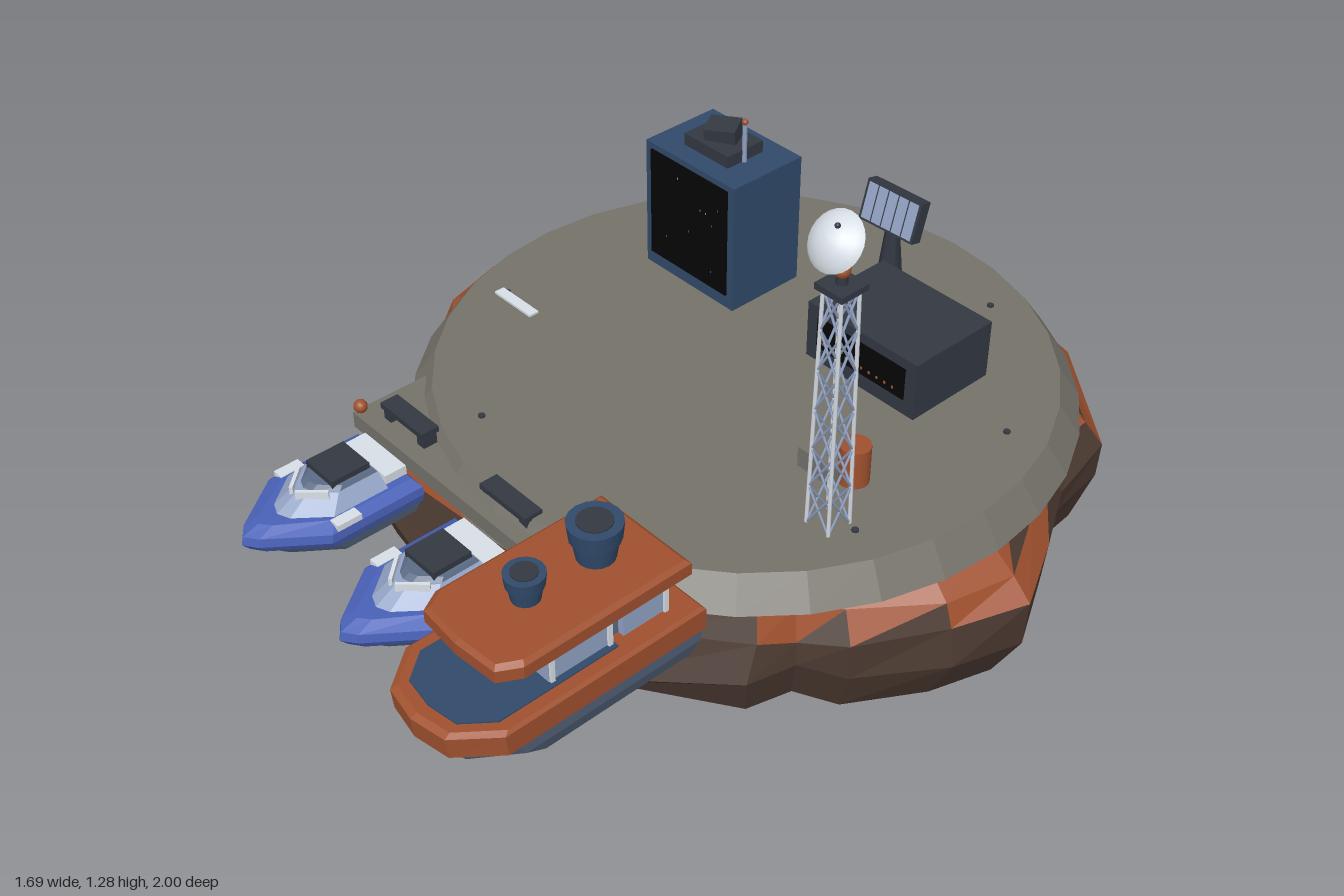
import * as THREE from 'three';

const paint = (name, color) => {
  const m = new THREE.MeshStandardMaterial({ color });
  m.name = name;
  return m;
};

export function createModel() {
  const rock = paint('rock brown', 0x4a3930), rust = paint('rust orange', 0xa0512f);
  const concrete = paint('concrete grey', 0x75726a), royal = paint('royal blue', 0x4a62b8);
  const navy = paint('navy blue', 0x314a6b), slate = paint('slate blue', 0x5b6c85);
  const pale = paint('pale blue', 0x93a3c4), charcoal = paint('charcoal', 0x333842);
  const black = paint('black', 0x050506), white = paint('white', 0xdfe6ee);
  white.side = THREE.DoubleSide;

  const model = new THREE.Group();
  model.name = 'rockIslandHarbour';

  let seed = 7;
  const rand = () => ((seed = (seed * 16807) % 2147483647) / 2147483647) - 0.5;
  const flat = (geo) => {
    const g = geo.toNonIndexed();
    g.computeVertexNormals();
    return g;
  };
  const add = (parent, name, geo, mat, x = 0, y = 0, z = 0) => {
    const m = new THREE.Mesh(geo, mat);
    m.name = name;
    m.position.set(x, y, z);
    parent.add(m);
    return m;
  };
  const group = (name, x = 0, y = 0, z = 0, parent = model) => {
    const g = new THREE.Group();
    g.name = name;
    g.position.set(x, y, z);
    parent.add(g);
    return g;
  };
  // Box given by its minimum and maximum on each axis
  const block = (parent, name, mat, x0, x1, y0, y1, z0, z1) =>
    add(parent, name, new THREE.BoxGeometry(x1 - x0, y1 - y0, z1 - z0), mat, (x0 + x1) / 2, (y0 + y1) / 2, (z0 + z1) / 2);
  const cyl = (parent, name, mat, rTop, rBase, y0, y1, x = 0, z = 0, sides = 16) =>
    add(parent, name, new THREE.CylinderGeometry(rTop, rBase, y1 - y0, sides), mat, x, (y0 + y1) / 2, z);
  const strut = (parent, name, mat, a, b, r) => {
    const m = add(parent, name, new THREE.CylinderGeometry(r, r, a.distanceTo(b), 5), mat);
    m.position.copy(a).add(b).multiplyScalar(0.5);
    m.quaternion.setFromUnitVectors(new THREE.Vector3(0, 1, 0), b.clone().sub(a).normalize());
  };

  // Closed faceted skin over rings (anticlockwise from above, bottom to top)
  const loft = (rings, pick = () => 0) => {
    const faces = [[], []];
    const mid = (r) => r.reduce((s, p) => s.add(p), new THREE.Vector3()).divideScalar(r.length);
    const n = rings[0].length, top = rings.length - 1;
    const low = mid(rings[0]), high = mid(rings[top]);
    for (let j = 0; j < n; j++) {
      const k = (j + 1) % n;
      for (let i = 0; i < top; i++) {
        const [a, b, c, d] = [rings[i][j], rings[i][k], rings[i + 1][k], rings[i + 1][j]];
        faces[pick(i, j, 0)].push(a, b, c);
        faces[pick(i, j, 1)].push(a, c, d);
      }
      faces[0].push(low, rings[0][k], rings[0][j], high, rings[top][j], rings[top][k]);
    }
    const g = new THREE.BufferGeometry().setFromPoints([...faces[0], ...faces[1]]);
    g.addGroup(0, faces[0].length, 0);
    g.addGroup(faces[0].length, faces[1].length, 1);
    g.computeVertexNormals();
    return g;
  };

  // Rock: one plan outline scaled up the height, with rust near the rim
  const plan = [[-.18, -.8], [.08, -.77], [.19, -.73], [.35, -.72], [.61, -.52], [.63, -.35], [.74, -.17], [.84, .01],
    [.8, .18], [.67, .35], [.59, .42], [.56, .53], [.29, .74], [-.08, .81], [-.45, .74], [-.55, .55], [-.65, .4],
    [-.79, .28], [-.84, .11], [-.79, -.09], [-.79, -.22], [-.7, -.41], [-.56, -.55], [-.39, -.71]].reverse();
  const levels = [[0, .54], [.05, .74], [.17, .935], [.28, 1], [.37, .995], [.435, .95], [.5, .84]];
  const rockRings = levels.map(([y, s], i) => plan.map(([x, z]) => {
    const k = s + rand() * (i === 3 || i > 4 ? 0 : 0.04);
    const lift = i > 0 && i < 5 ? rand() * 0.05 : 0;
    const front = i > 3 && z > 0.5 ? 0.95 : 1;
    return new THREE.Vector3(x * k, y + lift, z * k * front - 0.2 - (i < 2 ? 0.04 : 0));
  }));
  const deep = [3, 6, 7, 8, 10, 15, 16, 17, 18, 20, 21];
  const rustPick = (i, j, half) => {
    const col = (plan.length * 2 - 2 - j) % plan.length;
    if (i === 5) return col > 1 && (half || col % 3) ? 1 : 0;
    return i === 4 && ((deep.includes(col) && (half || col % 4)) || (half && col % 4 === 1)) ? 1 : 0;
  };
  add(model, 'rock', loft(rockRings, rustPick), [rock, rust]);

  // Concrete platform, lamps, marker and dock
  add(model, 'platform', flat(new THREE.CylinderGeometry(.7, .75, .07, 32)), concrete, 0, .505, -.195);
  for (let i = 0; i < 8; i++) {
    const a = (i + .5) * Math.PI / 4;
    cyl(model, 'platformLamp', charcoal, .008, .008, .54, .545, Math.cos(a) * .61, -.195 + Math.sin(a) * .61, 8);
  }
  block(model, 'groundMarker', white, -.58, -.45, .54, .546, .037, .063);
  block(model, 'dock', concrete, -.46, .24, .475, .515, .25, .55);
  add(model, 'dockLight', new THREE.SphereGeometry(.016, 10, 8), rust, -.45, .53, .535);
  for (const [x, y] of [[-.325, .558], [.025, .55]]) {
    block(model, 'mooringRail', charcoal, x - .075, x + .075, y - .014, y, .47, .515);
    for (const s of [-1, 1]) block(model, 'mooringPost', charcoal, x + s * .06 - .012, x + s * .06 + .012, .51, y, .475, .51);
  }

  // Tower block
  const tower = group('towerBlock');
  block(tower, 'towerWalls', navy, -.45, -.155, .54, .87, -.51, -.3);
  for (const z of [-.511, -.299]) {
    block(tower, 'windowWall', black, -.43, -.175, .575, .855, z - .004, z + .004);
    for (let i = 0; i < 9; i++) {
      const x = -.3 + Math.round(rand() * 12) * .019, y = .715 + Math.round(rand() * 10) * .025;
      block(tower, 'litWindow', pale, x, x + .002, y, y + .005, z - .0045, z + .0045);
    }
  }
  block(tower, 'roofPlinth', charcoal, -.375, -.23, .87, .9, -.46, -.35);
  const unit = block(tower, 'roofUnit', charcoal, -.34, -.265, .895, .935, -.435, -.375);
  unit.rotation.set(.15, .5, 0);
  cyl(tower, 'antenna', pale, .006, .006, .87, .965, -.228, -.4, 6);
  add(tower, 'antennaTip', new THREE.SphereGeometry(.008, 8, 6), rust, -.228, .972, -.4);

  // Low hall
  const hall = group('lowHall');
  block(hall, 'hallWalls', charcoal, .077, .4, .54, .685, -.55, -.31);
  block(hall, 'hallWindow', black, .11, .37, .58, .66, -.312, -.306);
  for (let i = 0; i < 10; i++) block(hall, 'litWindow', rust, .13 + i * .023, .135 + i * .023, .595, .601, -.31, -.304);

  // Solar panel on a stand
  cyl(model, 'panelStand', charcoal, .017, .032, .54, .68, -.005, -.67, 6);
  const panel = group('solarPanel', -.005, .729, -.67);
  panel.rotation.set(-.27, .06, 0);
  block(panel, 'panelFrame', charcoal, -.08, .08, -.051, .051, -.016, .016);
  for (let i = 0; i < 5; i++) block(panel, 'panelCell', pale, -.073 + i * .03, -.047 + i * .03, -.045, .045, .013, .018);

  // Supply drum and crate
  cyl(model, 'drum', rust, .034, .034, .54, .633, .45, -.075);
  block(model, 'crate', concrete, .34, .435, .54, .59, -.09, -.02);

  // Lattice mast: four legs with crossed braces
  const mast = group('mast', .508, 0, .06);
  const corner = (c, t) => {
    const h = .031 - .007 * t, a = (c + .5) * Math.PI / 2;
    return new THREE.Vector3(Math.sign(Math.cos(a)) * h, .54 + .575 * t, Math.sign(Math.sin(a)) * h);
  };
  for (let c = 0; c < 4; c++) {
    strut(mast, 'mastLeg', white, corner(c, 0), corner(c, 1), .0045);
    for (let i = 0; i < 6; i++) {
      strut(mast, 'mastBrace', pale, corner(c, i / 6), corner(c + 1, (i + 1) / 6), .003);
      strut(mast, 'mastBrace', pale, corner(c + 1, i / 6), corner(c, (i + 1) / 6), .003);
    }
  }
  block(mast, 'mastCap', charcoal, -.036, .036, 1.112, 1.126, -.036, .036);
  cyl(mast, 'dishNeck', charcoal, .009, .012, 1.126, 1.215, 0, 0, 8);
  add(mast, 'dishPivot', new THREE.SphereGeometry(.017, 12, 8), rust, 0, 1.155, 0);
  // Domed dish, bulging forward and up
  const dish = group('dish', 0, 1.228, .022, mast);
  dish.rotation.x = .91;
  const bowl = [[.062, 0], [.051, .014], [.03, .027], [.012, .032], [0, .033]].map(([r, y]) => new THREE.Vector2(r, y));
  add(dish, 'dishBowl', new THREE.LatheGeometry(bowl, 24), white);
  cyl(dish, 'dishArm', charcoal, .006, .006, -.02, .03, 0, 0, 6);
  add(dish, 'dishSensor', new THREE.SphereGeometry(.006, 8, 6), charcoal, .008, .03, -.028);

  // Boat cross-section at height y: half width w, from stern to bow
  const deckRing = (y, w, stern, bow, shoulder, blunt) => {
    const zs = stern + (bow - stern) * shoulder, zn = bow - (bow - zs) * .15;
    return [[w, stern], [-w, stern], [-w, zs], [-w * blunt, zn], [0, bow], [w * blunt, zn], [w, zs]]
      .map(([x, z]) => new THREE.Vector3(x, y, z));
  };
  const skin = (boat, name, mat, rows, shoulder, blunt) =>
    add(boat, name, loft(rows.map((r) => deckRing(...r, shoulder, blunt))), mat);

  // Two small patrol boats, z measured from the stern
  for (const [x, y] of [[-.33, .355], [.022, .34]]) {
    const boat = group('smallBoat', x, y, .55);
    skin(boat, 'smallHull', slate, [[0, .07, .02, .25], [.03, .1, .01, .3], [.07, .114, 0, .35]], .62, .3);
    skin(boat, 'gunwale', royal, [[.065, .116, 0, .358], [.085, .122, 0, .375], [.105, .12, 0, .37], [.118, .095, .01, .33]], .62, .25);
    skin(boat, 'smallDeck', pale, [[.115, .09, .065, .29], [.15, .062, .07, .23]], .62, .35);
    skin(boat, 'cabinTop', slate, [[.148, .062, .07, .22], [.158, .056, .075, .2]], .65, .35);
    block(boat, 'cabinHatch', charcoal, -.048, .048, .15, .172, .08, .175);
    block(boat, 'sternBench', white, -.075, .075, .11, .14, .008, .062);
    for (const s of [-1, 1]) {
      const shield = block(boat, 'windscreen', white, -.004, .004, .125, .16, -.035, .035);
      shield.position.x = s * .032;
      shield.position.z = .215;
      shield.rotation.y = -s * .75;
      block(boat, 'sideFender', white, s * .106 - .014, s * .106 + .014, .105, .12, .155, .215);
    }
  }

  // Large boat with wheelhouse and two funnels
  const tug = group('largeBoat', .368, 0, 0);
  skin(tug, 'largeHull', slate, [[.355, .09, .43, .78], [.385, .115, .415, .87], [.44, .14, .41, .95], [.485, .149, .407, .985]], .8, .55);
  skin(tug, 'hullBand', rust, [[.48, .152, .405, .99], [.53, .152, .405, .995], [.536, .145, .412, .98]], .83, .55);
  skin(tug, 'foredeck', navy, [[.53, .12, .6, .955], [.539, .12, .6, .955]], .8, .6);
  block(tug, 'cabinRear', pale, -.105, .105, .53, .625, .46, .575);
  block(tug, 'cabinFront', pale, -.105, .105, .53, .625, .61, .757);
  block(tug, 'cabinCore', slate, -.09, .09, .53, .625, .5, .7);
  for (const s of [-1, 1]) for (const z of [.47, .61, .75])
    block(tug, 'cabinPost', white, s * .106 - .005, s * .106 + .005, .535, .625, z - .005, z + .005);
  skin(tug, 'cabinRoof', rust, [[.62, .132, .425, .885], [.648, .132, .425, .885], [.656, .122, .435, .875]], .88, .8);
  for (const [z, r, h] of [[.55, .057, .088], [.72, .042, .064]]) {
    cyl(tug, 'funnel', navy, r * .85, r * .7, .655, .655 + h * .6, 0, z);
    cyl(tug, 'funnelCollar', navy, r, r * .92, .655 + h * .55, .655 + h, 0, z);
    cyl(tug, 'funnelMouth', charcoal, r * .65, r * .65, .655 + h - .004, .655 + h + .003, 0, z);
  }

  return model;
}
